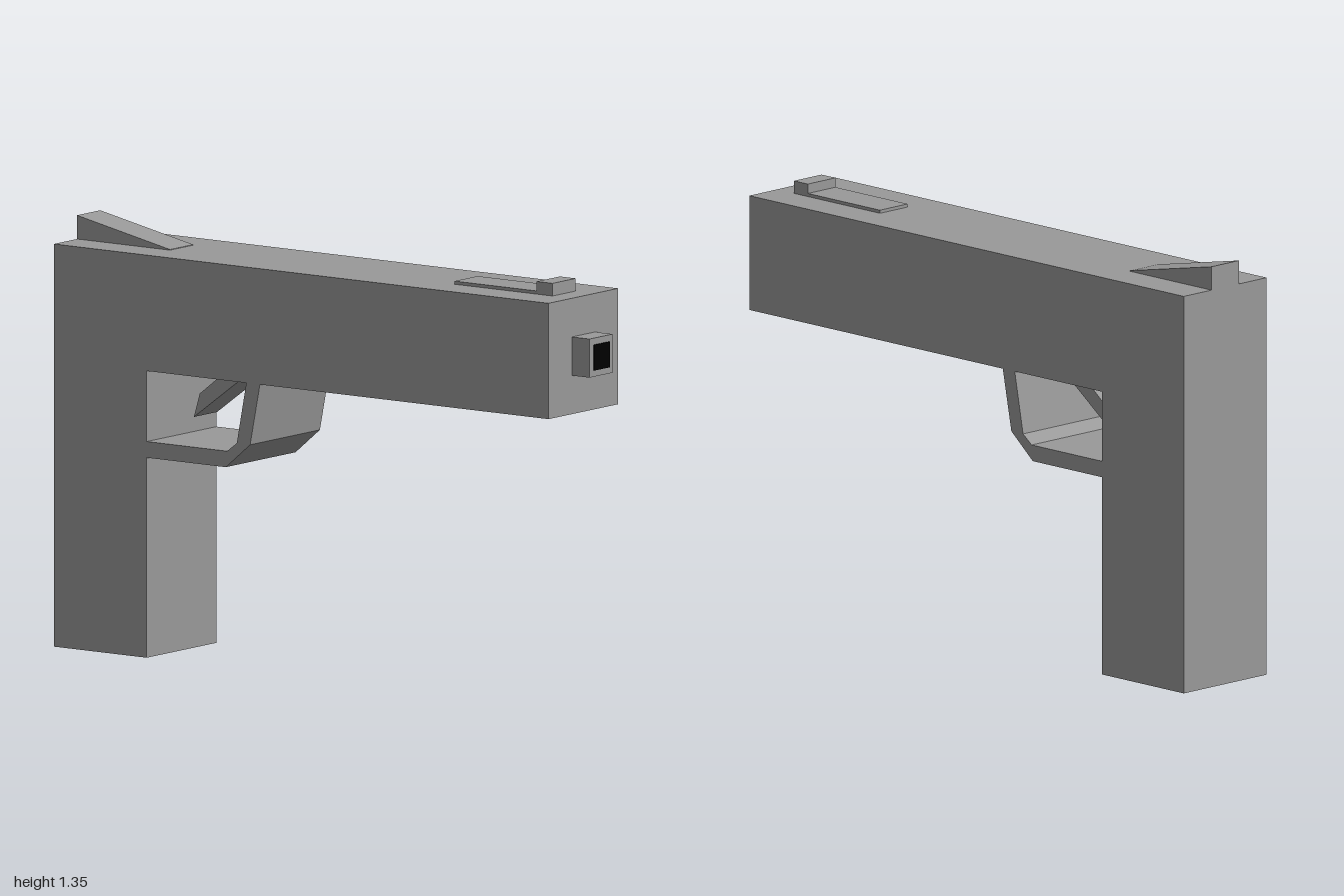
import * as THREE from 'three';

const grey = new THREE.MeshStandardMaterial({ color: 0x999999, flatShading: true });
const black = new THREE.MeshStandardMaterial({ color: 0x000000, flatShading: true });

// Side profile in x/y, extruded symmetrically across z
function slab(name, points, width, material = grey) {
  const shape = new THREE.Shape(points.map(([x, y]) => new THREE.Vector2(x, y)));
  const geometry = new THREE.ExtrudeGeometry(shape, { depth: width, bevelEnabled: false });
  geometry.translate(0, 0, -width / 2);
  const mesh = new THREE.Mesh(geometry, material);
  mesh.name = name;
  return mesh;
}

// Rectangle profile from its limits
const rect = (x0, x1, y0, y1) => [[x0, y0], [x1, y0], [x1, y1], [x0, y1]];

export function createModel() {
  const group = new THREE.Group();
  group.name = 'pistol';
  const full = 0.363, narrow = 0.121;

  group.add(
    // Slide and grip in one L-shaped block
    slab('body', [[-1, 0], [-0.638, 0], [-0.638, 0.906], [0.927, 0.906], [0.927, 1.272], [-1, 1.272]], full),
    // Full-width guard with a bent front corner
    slab('triggerGuard', [
      [-0.638, 0.632], [-0.33, 0.632], [-0.235, 0.712], [-0.197, 0.906],
      [-0.25, 0.906], [-0.287, 0.712], [-0.325, 0.683], [-0.638, 0.683],
    ], full),
    slab('trigger', [[-0.545, 0.754], [-0.34, 0.906], [-0.425, 0.906], [-0.522, 0.83]], narrow),
    // Sights on top
    slab('rearSight', [[-1, 1.272], [-0.638, 1.272], [-0.638, 1.274], [-1, 1.347]], narrow),
    slab('frontSightPlate', rect(0.47, 0.79, 1.272, 1.282), narrow),
    slab('frontSight', rect(0.79, 0.852, 1.272, 1.312), narrow),
    // Square muzzle with its dark bore
    slab('muzzle', rect(0.927, 0.996, 1.028, 1.15), narrow),
    slab('bore', rect(0.98, 1, 1.048, 1.129), 0.081, black),
  );
  return group;
}
